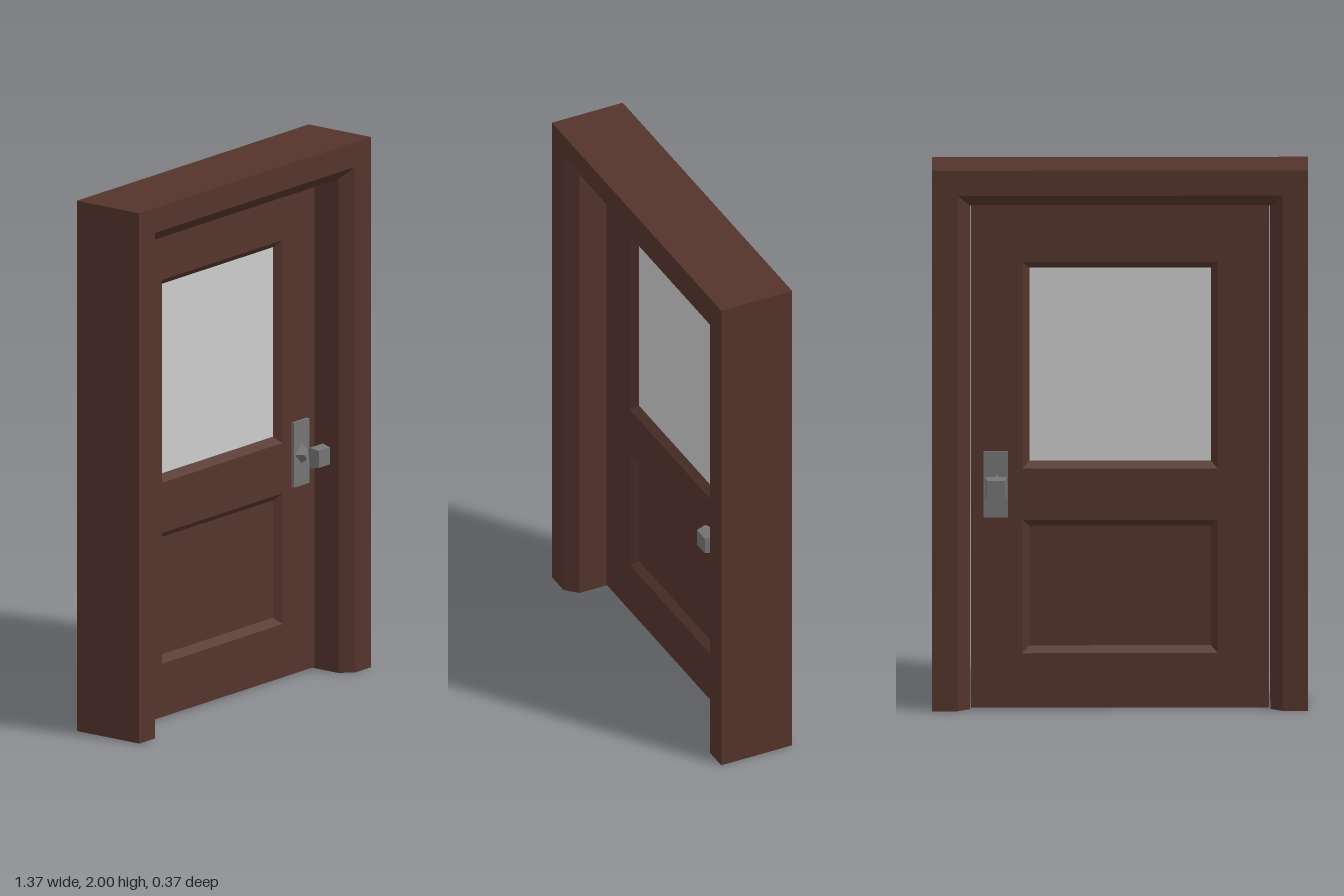
import * as THREE from 'three';

const wood = new THREE.MeshStandardMaterial({ name: 'darkWood', color: 0x54342c });
const glass = new THREE.MeshStandardMaterial({ name: 'frostedGlass', color: 0xcccccc });
const metal = new THREE.MeshStandardMaterial({ name: 'greyMetal', color: 0x747474 });

// Faceted skin over a row of rings (arrays of Vector3), with optional end caps
function loft(rings, capStart, capEnd) {
  const pts = [];
  const n = rings[0].length;
  for (let k = 0; k + 1 < rings.length; k++) {
    const a = rings[k], b = rings[k + 1];
    for (let i = 0; i < n; i++) {
      const j = (i + 1) % n;
      pts.push(a[i], a[j], b[j], a[i], b[j], b[i]);
    }
  }
  const first = rings[0], last = rings[rings.length - 1];
  for (let i = 1; i + 1 < n; i++) {
    if (capStart) pts.push(first[0], first[i + 1], first[i]);
    if (capEnd) pts.push(last[0], last[i], last[i + 1]);
  }
  const geo = new THREE.BufferGeometry().setFromPoints(pts);
  geo.computeVertexNormals();
  return geo;
}

function add(parent, name, geo, mat, x = 0, y = 0, z = 0) {
  const mesh = new THREE.Mesh(geo, mat);
  mesh.name = name;
  mesh.position.set(x, y, z);
  parent.add(mesh);
  return mesh;
}

// Rectangle ring, counter-clockwise seen from +z
const rectRing = (w, h, z) =>
  [[1, 1], [-1, 1], [-1, -1], [1, -1]].map(([sx, sy]) => new THREE.Vector3(sx * w / 2, sy * h / 2, z));

// Four-sided ring with a start angle
const turnedRing = (r, angle, z) =>
  [0, 1, 2, 3].map(i => new THREE.Vector3(
    r * Math.cos(angle + i * Math.PI / 2), r * Math.sin(angle + i * Math.PI / 2), z));

const HALF_W = 0.685, HEIGHT = 2, FRONT = 0.182, BACK = -0.107;
const DOOR_BACK = -0.065, DOOR_FRONT = 0.03;
const DOOR_MID = (DOOR_BACK + DOOR_FRONT) / 2, DOOR_HALF = (DOOR_FRONT - DOOR_BACK) / 2;
const BEVEL = 0.025;
const openings = [
  { name: 'window', y0: 0.89, y1: 1.655, mat: glass },
  { name: 'lowerPanel', y0: 0.207, y1: 0.7, mat: wood },
];
const OPEN_W = 0.712;

function buildFrame() {
  // Chamfered section: [inset from outer edge, z]
  const section = [[0, BACK], [0, FRONT], [0.093, FRONT], [0.137, FRONT - 0.044],
    [0.137, BACK + 0.044], [0.093, BACK]];
  const station = (side, top) => section.map(([t, z]) =>
    new THREE.Vector3(side * (HALF_W - t), top ? HEIGHT - t : 0, z));
  return loft([station(-1, false), station(-1, true), station(1, true), station(1, false)], true, true);
}

function buildSlab() {
  const shape = new THREE.Shape();
  shape.moveTo(-0.543, 0.006).lineTo(0.543, 0.006).lineTo(0.543, 1.862).lineTo(-0.543, 1.862).closePath();
  for (const o of openings) {
    const hole = new THREE.Path();
    const w = OPEN_W / 2;
    hole.moveTo(-w, o.y0).lineTo(-w, o.y1).lineTo(w, o.y1).lineTo(w, o.y0).closePath();
    shape.holes.push(hole);
  }
  return new THREE.ExtrudeGeometry(shape, { depth: DOOR_HALF * 2, bevelEnabled: false });
}

// Mouldings, panels and handle for one face of the door
function buildFace(name, handleX) {
  const face = new THREE.Group();
  face.name = name;
  for (const o of openings) {
    const h = o.y1 - o.y0, y = (o.y0 + o.y1) / 2;
    add(face, o.name + 'Moulding', loft([
      rectRing(OPEN_W, h, DOOR_HALF),
      rectRing(OPEN_W - 2 * BEVEL, h - 2 * BEVEL, DOOR_HALF - BEVEL),
    ]), wood, 0, y, 0);
    add(face, o.name, new THREE.PlaneGeometry(OPEN_W - 2 * BEVEL, h - 2 * BEVEL), o.mat, 0, y, DOOR_HALF - BEVEL);
  }

  const handle = new THREE.Group();
  handle.name = 'handle';
  handle.position.set(handleX, 0.834, DOOR_HALF);
  add(handle, 'handlePlate', new THREE.BoxGeometry(0.09, 0.244, 0.012), metal, 0, 0, 0.006);
  // Knob: diamond neck twisting into a square head
  const q = Math.PI / 4;
  add(handle, 'knob', loft([
    turnedRing(0.038, 0, 0.012),
    turnedRing(0.018, 0, 0.042),
    turnedRing(0.039 * Math.SQRT2, q, 0.08),
    turnedRing(0.032 * Math.SQRT2, q, 0.118),
  ], false, true), metal);
  face.add(handle);
  return face;
}

export function createModel() {
  const model = new THREE.Group();
  model.name = 'panelledDoor';
  add(model, 'doorFrame', buildFrame(), wood);

  const door = new THREE.Group();
  door.name = 'door';
  door.position.z = DOOR_MID;
  add(door, 'doorSlab', buildSlab(), wood, 0, 0, -DOOR_HALF);
  door.add(buildFace('frontFace', 0.453));
  const back = buildFace('backFace', -0.453);
  back.rotation.y = Math.PI;
  door.add(back);
  model.add(door);
  return model;
}
